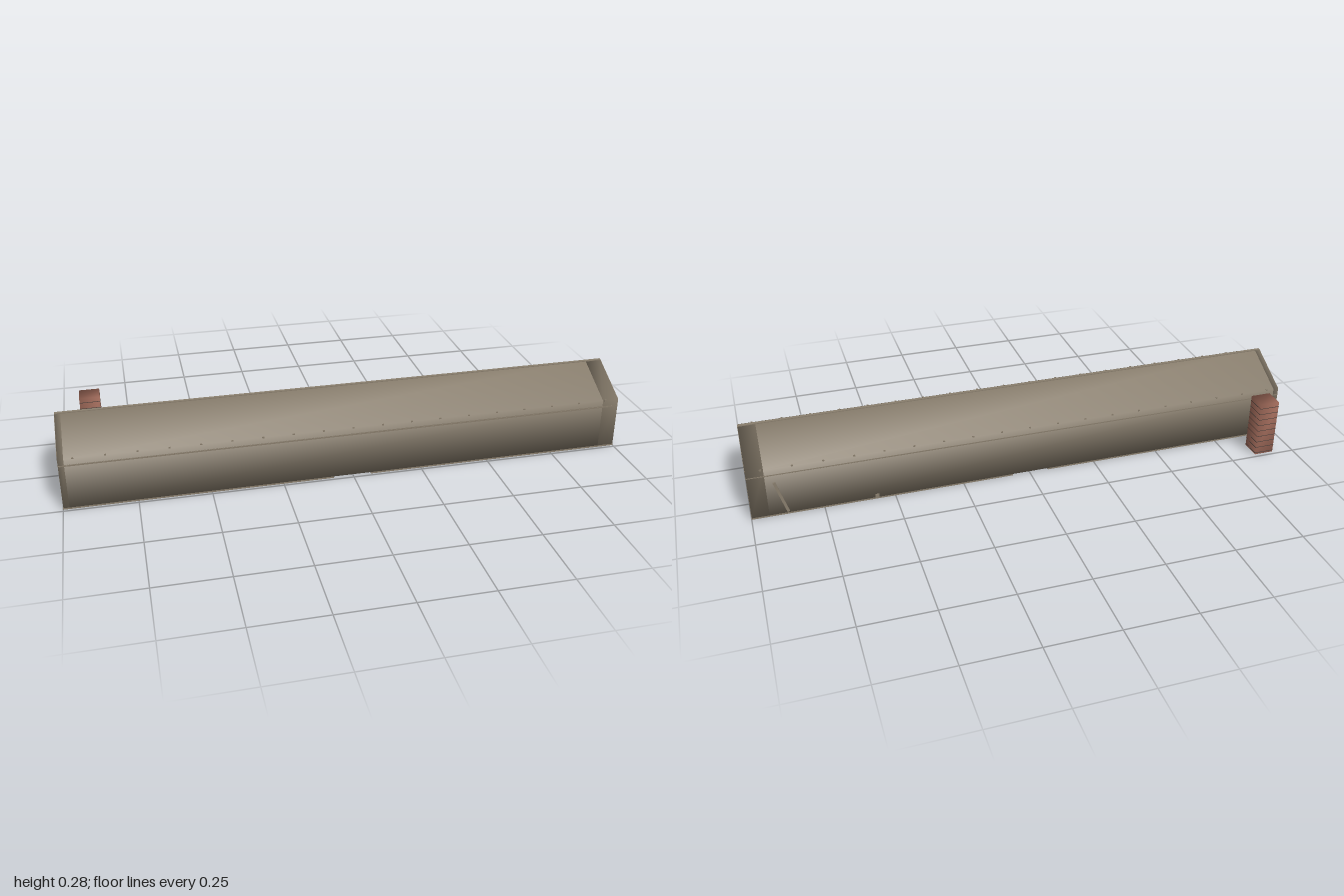
import * as THREE from 'three';
import { mergeVertices } from 'three/addons/utils/BufferGeometryUtils.js';

const wood = new THREE.MeshStandardMaterial({ color: 0x8a7f6e });
wood.name = 'weathered wood';
const brick = new THREE.MeshStandardMaterial({ color: 0xa8705f });
brick.name = 'brick';
const joint = new THREE.MeshStandardMaterial({ color: 0x4a3f3a });
joint.name = 'dark joint';

const MID = 0.07, HALF = 0.17, BASE = 0.006, EAVE = 0.19, RIDGE = 0.28;

// Gabled cross-section, inset by t; shape x is world -z
function gable(t, Type = THREE.Shape) {
  const w = HALF - t;
  return new Type([
    [-MID - w, BASE + t * 0.2], [-MID + w, BASE + t * 0.2],
    [-MID + w, EAVE - t * 0.5], [-MID, RIDGE - t], [-MID - w, EAVE - t * 0.5],
  ].map(([x, y]) => new THREE.Vector2(x, y)));
}

// Extrude a cross-section along x, with shared smooth normals
function alongX(shape, x0, x1) {
  let g = new THREE.ExtrudeGeometry(shape, { depth: x1 - x0, bevelEnabled: false });
  g.deleteAttribute('normal');
  g.deleteAttribute('uv');
  g = mergeVertices(g, 1e-5);
  g.rotateY(Math.PI / 2);
  g.translate(x0, 0, 0);
  g.computeVertexNormals();
  return g;
}

export function createModel() {
  const model = new THREE.Group();
  const add = (name, geometry, material, parent = model) => {
    const m = new THREE.Mesh(geometry, material);
    m.name = name;
    parent.add(m);
    return m;
  };
  const box = (name, size, pos, material = wood, parent = model) => {
    const m = add(name, new THREE.BoxGeometry(...size), material, parent);
    m.position.set(...pos);
    return m;
  };

  // Long hollow hall
  const shell = gable(0);
  shell.holes.push(gable(0.01, THREE.Path));
  add('hallShell', alongX(shell, -0.979, 0.939), wood);
  add('closedGable', alongX(gable(0), 0.939, 0.999), wood);

  // Gable with a tall doorway
  const open = gable(0);
  open.holes.push(new THREE.Path([
    [-0.13, 0.012], [-0.02, 0.012], [-0.02, 0.225], [-0.13, 0.225],
  ].map(([x, y]) => new THREE.Vector2(x, y))));
  add('doorwayGable', alongX(open, -0.999, -0.979), wood);

  // Ground slabs with a gap between them
  box('groundSlabLeft', [0.935, BASE, 0.34], [0.5325, BASE / 2, MID]);
  box('groundSlabRight', [0.93, BASE, 0.34], [-0.535, BASE / 2, MID]);

  // Ridge cap and beam
  box('ridgeCap', [1.998, 0.003, 0.012], [0, RIDGE - 0.0015, MID]);
  box('ridgeBeam', [2, 0.013, 0.015], [0, 0.267, MID]);

  // Rails, rail ends and eave pegs on both long sides
  for (const s of [1, -1]) {
    const side = MID + s * HALF;
    box('wallRail', [1.998, 0.003, 0.002], [0, 0.165, side]);
    box('railEnd', [2, 0.007, 0.017], [0, 0.165, side - s * 0.0085]);
    box('cornerPost', [2, 0.13, 0.001], [0, 0.071, side - s * 0.01]);
    for (let i = 0; i < 19; i++) {
      box('eavePeg', [0.007, 0.005, 0.003], [-0.95 + i * 0.1055, 0.19, side - s * 0.001]);
    }
  }

  // Sloping trim along the edges of the gables
  const slope = Math.atan2(RIDGE - EAVE, HALF);
  for (const x of [-0.9975, 0.9975]) {
    for (const s of [1, -1]) {
      const trim = box('gableTrim', [0.005, 0.006, 0.185],
        [x, (EAVE + RIDGE) / 2 - 0.0035, MID + s * HALF / 2]);
      trim.rotation.x = s * slope;
    }
  }

  // Plank leaning on the rear wall, and a small block at its foot
  const plank = box('leaningPlank', [0.009, 0.129, 0.006], [0.892, 0.074, -0.103]);
  plank.rotation.z = -0.29;
  box('rearBlock', [0.014, 0.012, 0.005], [0.565, 0.014, -0.1015]);

  // Free-standing brick stack
  const stack = new THREE.Group();
  stack.name = 'brickStack';
  stack.position.set(-0.885, 0, -0.201);
  model.add(stack);
  const body = new THREE.BoxGeometry(0.073, 0.213, 0.073);
  body.deleteAttribute('normal');
  body.deleteAttribute('uv');
  const smooth = mergeVertices(body, 1e-5);
  smooth.computeVertexNormals();
  add('stackBody', smooth, brick, stack).position.y = 0.1085;
  for (let i = 0; i < 9; i++) {
    box('courseJoint', [0.0745, 0.0018, 0.0745], [0, 0.009 + i * 0.0235, 0], joint, stack);
  }
  return model;
}
